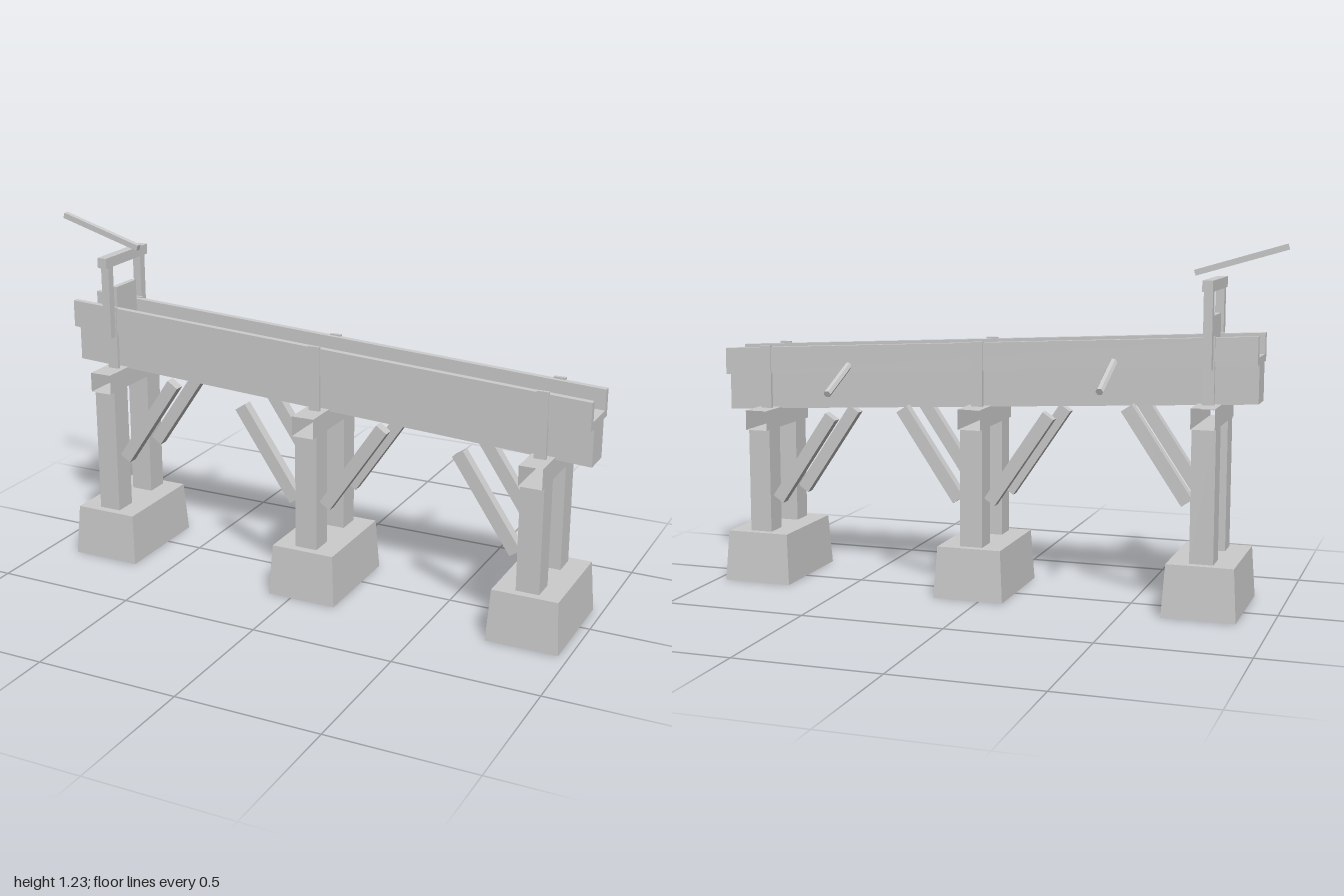
import * as THREE from 'three';

const MID = 0.04;      // z of the channel's centre line
const SLOPE = -0.052;  // fall of the channel towards +x

export function createModel() {
  const model = new THREE.Group();
  const mat = new THREE.MeshStandardMaterial({ color: 0xcccccc, flatShading: true });
  const thin = new THREE.MeshStandardMaterial({ color: 0xcccccc, flatShading: true, side: THREE.DoubleSide });

  const add = (name, geo, x, y, z, parent = model, m = mat) => {
    const mesh = new THREE.Mesh(geo, m);
    mesh.name = name;
    mesh.position.set(x, y, z);
    parent.add(mesh);
    return mesh;
  };
  const box = (name, w, h, d, x, y, z, parent) =>
    add(name, new THREE.BoxGeometry(w, h, d), x, y, z, parent);

  // Geometry without the faces of the given box sides (order: +x -x +y -y +z -z)
  const openBox = (w, h, d, missing) => {
    const g = new THREE.BoxGeometry(w, h, d);
    const all = Array.from(g.index.array);
    g.setIndex(all.filter((_, i) => !missing.includes(Math.floor(i / 6))));
    g.clearGroups();
    return g;
  };

  // Board running the length of the channel, sheared so its ends stay upright
  const board = (name, y0, y1, z0, z1) => {
    const g = new THREE.BoxGeometry(1.92, y1 - y0, z1 - z0);
    g.translate(0.04, (y0 + y1) / 2, (z0 + z1) / 2);
    const p = g.attributes.position;
    for (let i = 0; i < p.count; i++) p.setY(i, p.getY(i) + SLOPE * (p.getX(i) - 1));
    g.computeVertexNormals();
    add(name, g, 0, 0, MID);
  };

  // Channel: bearer beam, floor and side walls
  board('bearerBeam', 0.605, 0.735, -0.051, 0.051);
  board('channelFloor', 0.735, 0.76, -0.0625, 0.0625);
  for (const s of [-1, 1]) {
    board('channelWall', 0.735, 0.83, Math.min(s * 0.0625, s * 0.085), Math.max(s * 0.0625, s * 0.085));
  }

  // Trestles, each a step lower than the last
  const trestles = [
    { x: -0.76, drop: 0, braces: [1] },
    { x: 0.04, drop: 0.04, braces: [-1, 1] },
    { x: 0.84, drop: 0.08, braces: [-1] },
  ];
  for (const { x, drop, braces } of trestles) {
    const t = new THREE.Group();
    t.name = 'trestle';
    t.position.set(x, 0, MID);
    model.add(t);

    // Tapered hollow footing, open underneath
    const foot = openBox(0.25, 0.18, 0.38, [3]);
    const p = foot.attributes.position;
    for (let i = 0; i < p.count; i++) {
      if (p.getY(i) > 0) {
        p.setX(i, p.getX(i) * 0.91);
        p.setZ(i, p.getZ(i) * 0.937);
      }
    }
    foot.computeVertexNormals();
    add('footing', foot, 0, 0.09, 0, t, thin);

    // Cross beam, hollow at its ends
    add('crossBeam', openBox(0.08, 0.07, 0.345, [4, 5]), 0, 0.665 - drop, 0, t, thin);

    for (const s of [-1, 1]) {
      const top = 0.63 - drop;
      box('post', 0.08, top - 0.18, 0.083, 0, (top + 0.18) / 2, s * 0.108, t);
      box('strap', 0.04, 0.24, 0.012, 0, 0.805 - drop, s * 0.083, t);
      // Diagonal braces
      for (const b of braces) {
        const dx = 0.208, dy = 0.308;
        const brace = box('brace', 0.045, Math.hypot(dx, dy), 0.036, b * 0.161, 0.53 - drop, s * 0.105, t);
        brace.rotation.z = -b * Math.atan2(dx, dy);
      }
    }
  }

  // Sluice gate at the upper end
  const gate = new THREE.Group();
  gate.name = 'sluiceGate';
  gate.position.set(-0.76, 0, MID);
  model.add(gate);
  box('gatePanel', 0.02, 0.15, 0.125, 0, 0.917, 0, gate);
  for (const s of [-1, 1]) box('gatePost', 0.03, 0.257, 0.029, 0, 0.946, s * 0.102, gate);
  box('gateLintel', 0.035, 0.036, 0.265, 0, 1.092, 0, gate);
  const lever = box('lever', 0.317, 0.02, 0.02, -0.085, 1.172, 0, gate);
  lever.rotation.z = -0.285;

  // Spouts poking out of the back wall
  const dz = -0.207, dy = -0.088;
  for (const [x, y] of [[-0.44, 0.797], [0.52, 0.749]]) {
    const g = new THREE.CylinderGeometry(0.013, 0.013, Math.hypot(dz, dy), 6);
    g.rotateY(Math.PI / 6);
    const spout = add('spout', g, x, y, -0.122);
    spout.rotation.x = Math.atan2(dz, dy);
  }
  return model;
}
